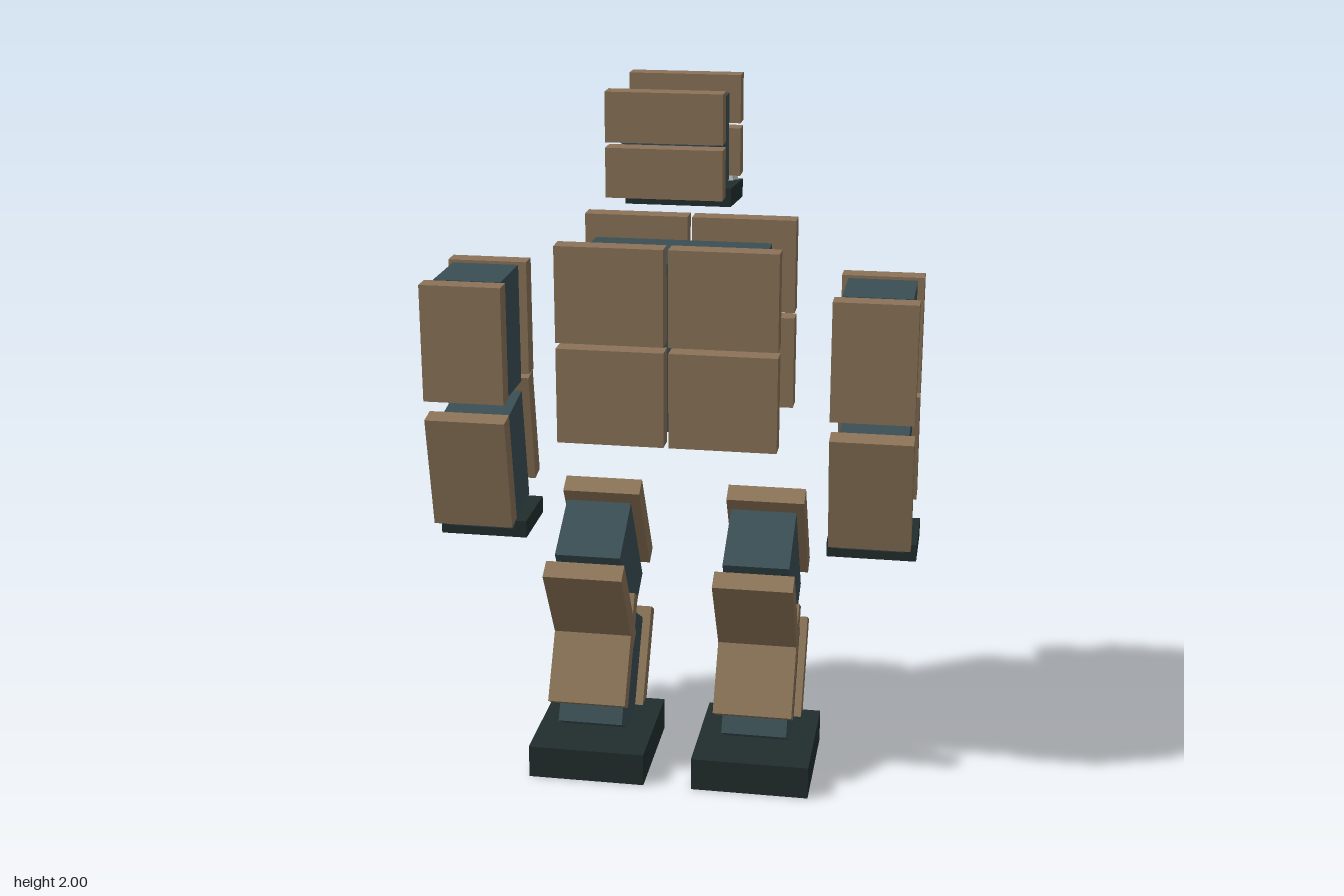
import * as THREE from 'three';

const mat = (name, color) => {
  const m = new THREE.MeshStandardMaterial({ color });
  m.name = name;
  return m;
};

export function createModel() {
  const armour = mat('brown armour', 0x8b7358);
  const frame = mat('slate frame', 0x3a4e54);
  const dark = mat('dark base', 0x212d2d);
  const glow = mat('orange light', 0xf29a2e);
  const silver = mat('silver spike', 0xb4bab6);

  const root = new THREE.Group();
  root.name = 'blockRobot';

  const group = (name, parent, x, y, z, tilt = 0) => {
    const g = new THREE.Group();
    g.name = name;
    g.position.set(x, y, z);
    g.rotation.x = tilt;
    parent.add(g);
    return g;
  };
  const box = (name, parent, m, w, h, d, x, y, z) => {
    const b = new THREE.Mesh(new THREE.BoxGeometry(w, h, d), m);
    b.name = name;
    b.position.set(x, y, z);
    parent.add(b);
    return b;
  };

  // Head: core with two plates in front and two behind
  const head = group('head', root, 0, 1.838, 0.04);
  box('headCore', head, frame, 0.25, 0.236, 0.24, 0, 0, 0);
  box('headLight', head, glow, 0.04, 0.17, 0.009, 0, 0, -0.1245);
  for (const [side, z] of [['Front', 0.172], ['Back', -0.17]]) {
    box('head' + side + 'UpperPlate', head, armour, 0.306, 0.13, 0.057, 0, 0.097, z);
    box('head' + side + 'LowerPlate', head, armour, 0.306, 0.13, 0.057, 0, -0.047, z);
  }

  // Tilted collar with three ribbed spikes
  const collar = group('collar', root, 0, 1.678, -0.108, -0.087);
  box('collarBar', collar, dark, 0.288, 0.05, 0.247, 0, 0, 0);
  const profile = [[0.041, 0], [0.033, 0.02], [0.017, 0.05], [0, 0.058]];
  const spikeShape = new THREE.LatheGeometry(
    profile.map(([r, y]) => new THREE.Vector2(r, y)), 16).toNonIndexed();
  const pos = spikeShape.attributes.position;
  for (let i = 0; i < pos.count; i++) {
    const step = Math.round(Math.atan2(pos.getX(i), pos.getZ(i)) / (Math.PI / 8));
    const k = step % 2 ? 0.78 : 1;
    pos.setX(i, pos.getX(i) * k);
    pos.setZ(i, pos.getZ(i) * k);
  }
  spikeShape.computeVertexNormals();
  for (const x of [-0.095, 0, 0.095]) {
    const spike = new THREE.Mesh(spikeShape, silver);
    spike.name = 'spike';
    spike.position.set(x, 0.024, -0.1);
    collar.add(spike);
  }

  // Torso: core with four plates on each face
  const torso = group('torso', root, 0, 1.313, 0.063);
  box('torsoCore', torso, frame, 0.494, 0.465, 0.287, 0, 0, 0);
  box('torsoLight', torso, glow, 0.04, 0.33, 0.009, 0, 0, -0.148);
  for (const [side, z] of [['Front', 0.203], ['Back', -0.198]])
    for (const x of [-0.138, 0.165])
      for (const y of [0.161, -0.117])
        box('torso' + side + 'Plate', torso, armour, 0.29, 0.262, 0.057, x, y, z);

  // One limb segment: core, back light, front and back plates
  const segment = (name, x, y, z, tilt, front, back) => {
    const g = group(name, root, x, y, z, tilt);
    box(name + 'Core', g, frame, 0.188, 0.34, 0.2, 0, 0, 0);
    box(name + 'Light', g, glow, 0.028, 0.23, 0.009, 0, 0, -0.1045);
    box(name + 'FrontPlate', g, armour, 0.225, 0.328, 0.056, 0, front[1], front[0]);
    box(name + 'BackPlate', g, armour, 0.225, 0.328, 0.056, 0, back[1], back[0]);
  };

  for (const [side, s] of [['left', 1], ['right', -1]]) {
    // Arms
    const ax = s * 0.556;
    segment(side + 'UpperArm', ax, 1.297, 0.062, 0, [0.15, 0.01], [-0.145, 0.01]);
    segment(side + 'Forearm', ax, 0.913, 0.031, 0.17, [0.148, 0.044], [-0.142, 0.04]);
    box(side + 'Hand', root, dark, 0.25, 0.05, 0.208, ax, 0.717, -0.031);
    // Back-bent legs
    const lx = s * 0.24;
    segment(side + 'Thigh', lx, 0.577, -0.037, 0.54, [0.158, 0.015], [-0.163, 0.004]);
    segment(side + 'Shin', lx, 0.243, -0.037, -0.54, [0.156, 0.043], [-0.16, 0.045]);
    box(side + 'Foot', root, dark, 0.337, 0.096, 0.364, s * 0.238, 0.048, 0.029);
  }
  return root;
}
